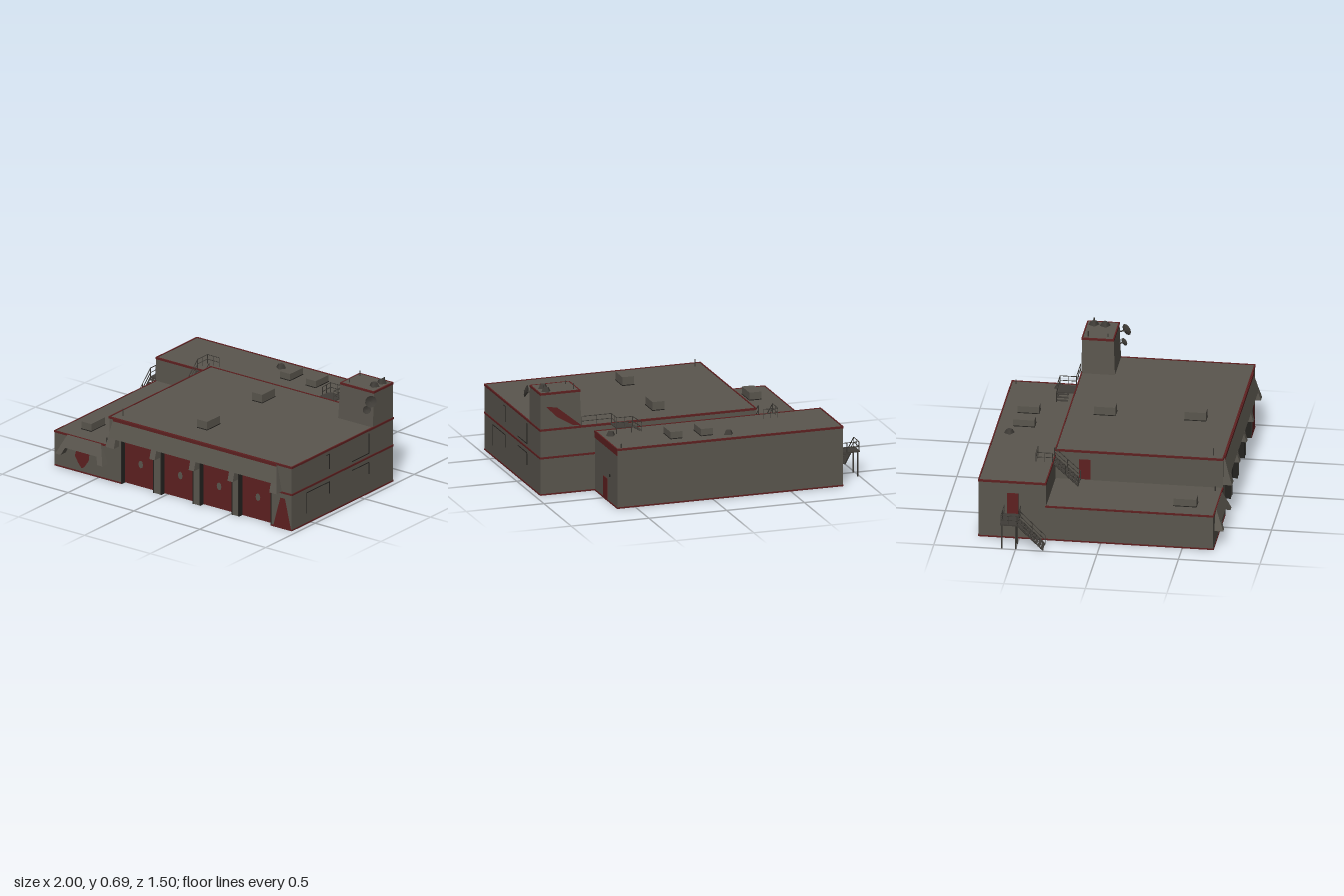
import * as THREE from 'three';

const mat = (name, color) => {
  const m = new THREE.MeshStandardMaterial({ color, side: THREE.DoubleSide });
  m.name = name;
  return m;
};

export function createModel() {
  const root = new THREE.Group();
  const wall = mat('concrete', 0x5a564e), red = mat('dark red', 0x5e2020);
  const dark = mat('charcoal', 0x24221f), metal = mat('metal', 0x403d38);

  const add = (name, geo, m, parent = root) => {
    const mesh = new THREE.Mesh(geo, m);
    mesh.name = name;
    parent.add(mesh);
    return mesh;
  };
  // Box given by its limits
  const box = (name, m, x0, x1, y0, y1, z0, z1, parent) => {
    const mesh = add(name, new THREE.BoxGeometry(x1 - x0, y1 - y0, z1 - z0), m, parent);
    mesh.position.set((x0 + x1) / 2, (y0 + y1) / 2, (z0 + z1) / 2);
    return mesh;
  };
  // Thin bar between two points
  const rod = (name, a, b, r = 0.0025, parent = root, m = metal) => {
    const p = new THREE.Vector3(...a), d = new THREE.Vector3(...b).sub(p);
    const mesh = add(name, new THREE.CylinderGeometry(r, r, d.length(), 5), m, parent);
    mesh.position.copy(p).addScaledVector(d, 0.5);
    mesh.quaternion.setFromUnitVectors(new THREE.Vector3(0, 1, 0), d.normalize());
  };
  // Handrail: posts and two rails along a path of floor points
  const rail = (name, pts, h = 0.06) => {
    const g = new THREE.Group();
    g.name = name;
    root.add(g);
    const up = (p, k) => [p[0], p[1] + h * k, p[2]];
    pts.forEach((p, i) => {
      rod('railPost', p, up(p, 1), 0.0025, g);
      if (!i) return;
      const q = pts[i - 1], mid = p.map((v, j) => (v + q[j]) / 2);
      rod('railPost', mid, up(mid, 1), 0.002, g);
      [0.5, 1].forEach(k => rod('railBar', up(q, k), up(p, k), 0.0025, g));
    });
  };
  // Flat painted patch in the xy plane
  const patch = (name, m, pts, z) => {
    const s = new THREE.Shape(pts.map(p => new THREE.Vector2(...p)));
    add(name, new THREE.ShapeGeometry(s), m).position.z = z;
  };
  // (z, y) profile stretched along x between two edges that depend on height
  const prism = (name, m, profile, left, right) => {
    const s = new THREE.Shape(profile.map(([z, y]) => new THREE.Vector2(-z, y)));
    const g = new THREE.ExtrudeGeometry(s, { depth: 1, bevelEnabled: false }).rotateY(Math.PI / 2);
    const p = g.attributes.position;
    for (let i = 0; i < p.count; i++) {
      const y = p.getY(i);
      p.setX(i, THREE.MathUtils.lerp(left(y), right(y), p.getX(i)));
    }
    g.computeVertexNormals();
    add(name, g, m);
  };

  // Roofs over an open-bottomed shell
  const T = 0.005;
  box('hallRoof', wall, -0.42, 0.965, 0.41, 0.415, -0.335, 0.69);
  box('wingRoof', wall, -0.835, -0.42, 0.22, 0.225, -0.34, 0.69);
  box('rearRoof', wall, -0.835, 0.615, 0.37, 0.375, -0.75, -0.335);

  // Outer walls
  box('hallLeftWall', wall, 0.965 - T, 0.965, 0, 0.415, -0.335, 0.69);
  box('hallRearWall', wall, 0.615, 0.965, 0, 0.415, -0.335, -0.33);
  box('hallRearStep', wall, -0.42, 0.615, 0.37, 0.415, -0.335, -0.33);
  box('hallRightStep', wall, -0.42, -0.415, 0.22, 0.415, -0.335, 0.69);
  box('rearBackWall', wall, -0.835, 0.615, 0, 0.375, -0.75, -0.745);
  box('rearLeftWall', wall, 0.61, 0.615, 0, 0.375, -0.75, -0.33);
  box('rightWall', wall, -0.835, -0.83, 0, 0.225, -0.75, 0.69);
  box('rearRightUpperWall', wall, -0.835, -0.83, 0.225, 0.375, -0.75, -0.335);
  box('rearFrontStep', wall, -0.835, -0.42, 0.22, 0.375, -0.34, -0.335);
  box('wingFrontWall', wall, -0.835, -0.42, 0, 0.225, 0.685, 0.69);

  // Hall front: header, piers and recessed doors
  const doors = [-0.33, -0.03, 0.265, 0.56], W = 0.25;
  box('hallHeader', wall, -0.42, 0.965, 0.295, 0.415, 0.655, 0.69);
  let edge = -0.42;
  [...doors, 0.965].forEach(x => {
    box('pier', wall, edge, x, 0, 0.295, 0.655, 0.69);
    edge = x + W;
  });
  doors.forEach(x => {
    box('garageDoor', red, x, x + W, 0, 0.295, 0.65, 0.657);
    box('doorFrameTop', dark, x, x + W, 0.287, 0.295, 0.657, 0.692);
    [x, x + W - 0.006].forEach(f => box('doorFrameSide', dark, f, f + 0.006, 0, 0.295, 0.657, 0.692));
    const badge = add('doorBadge', new THREE.CircleGeometry(0.018, 8), wall);
    badge.scale.y = 1.4;
    badge.position.set(x + W / 2, 0.145, 0.659);
  });

  // Sloping front canopies with hanging fins
  const hl = y => -0.385 - (0.415 - y) * 0.14, hr = y => 0.855 + (0.415 - y) * 0.2;
  prism('hallCanopy', wall, [[0.688, 0.415], [0.695, 0.415], [0.728, 0.295], [0.688, 0.295]], hl, hr);
  const fin = [[0.688, 0.297], [0.728, 0.297], [0.745, 0.24], [0.688, 0.24]];
  prism('canopyFin', wall, fin, hl, () => -0.345);
  prism('canopyFin', wall, fin, () => 0.835, hr);
  [-0.055, 0.243, 0.538].forEach(x => prism('canopyFin', wall, fin, () => x - 0.02, () => x + 0.02));
  const wl = y => -0.735 - (0.225 - y) * 0.45, wr = y => -0.48 + (0.225 - y) * 0.4;
  prism('wingCanopy', wall, [[0.688, 0.225], [0.695, 0.225], [0.726, 0.15], [0.688, 0.15]], wl, wr);
  const low = [[0.688, 0.151], [0.726, 0.151], [0.745, 0.105], [0.688, 0.105]];
  prism('wingCanopyFin', wall, low, wl, y => wl(y) + 0.04);
  prism('wingCanopyFin', wall, low, y => wr(y) - 0.04, wr);

  // Painted patches
  patch('wingPaint', red, [[-0.68, 0.1], [-0.67, 0.14], [-0.64, 0.148], [-0.6, 0.145], [-0.57, 0.13],
    [-0.575, 0.09], [-0.61, 0.04], [-0.63, 0.03], [-0.655, 0.06]], 0.692);
  patch('cornerPaint', red, [[0.825, 0], [0.963, 0], [0.915, 0.2], [0.88, 0.2]], 0.692);
  patch('towerPaint', red, [[0.93, 0.56], [0.86, 0.55], [0.7, 0.42], [0.76, 0.43], [0.86, 0.49]], -0.338);

  // Side doors
  box('rearSideDoor', red, 0.612, 0.619, 0, 0.14, -0.57, -0.5);
  box('landingDoor', red, -0.839, -0.832, 0.165, 0.3, -0.575, -0.505);
  box('roofDoor', red, -0.424, -0.417, 0.23, 0.36, -0.19, -0.12);
  box('wallLamp', dark, 0.612, 0.62, 0.165, 0.18, -0.62, -0.605);

  // Red edging on roofs, waist and base
  const e = 0.004;
  const edging = (name, x0, x1, z0, z1, y0, y1) => {
    box(name, red, x0 - e, x1 + e, y0, y1, z1 - e, z1 + e);
    box(name, red, x0 - e, x1 + e, y0, y1, z0 - e, z0 + e);
    box(name, red, x0 - e, x0 + e, y0, y1, z0, z1);
    box(name, red, x1 - e, x1 + e, y0, y1, z0, z1);
  };
  edging('hallRoofEdge', -0.42, 0.965, -0.335, 0.69, 0.406, 0.419);
  edging('rearRoofEdge', -0.835, 0.615, -0.748, -0.338, 0.366, 0.379);
  box('rearBand', red, 0.613, 0.618, 0.335, 0.37, -0.75, -0.34);
  box('hallFrontBand', red, -0.385, 0.855, 0.398, 0.417, 0.692, 0.7);
  box('wingFrontEdge', red, -0.838, -0.42, 0.217, 0.228, 0.686, 0.694);
  box('wingSideEdge', red, -0.838, -0.831, 0.217, 0.228, -0.34, 0.69);
  box('waistBand', red, 0.963, 0.969, 0.23, 0.242, -0.335, 0.69);
  box('waistBandBack', red, 0.615, 0.965, 0.23, 0.242, -0.339, -0.334);
  box('waistBandFront', red, 0.81, 0.968, 0.23, 0.242, 0.688, 0.693);
  [[0.963, 0.968, -0.335, 0.69], [0.613, 0.618, -0.75, -0.335], [-0.838, -0.833, -0.75, 0.69],
    [-0.835, 0.615, -0.753, -0.748], [0.615, 0.965, -0.338, -0.333], [-0.835, -0.33, 0.688, 0.693],
    [0.81, 0.965, 0.688, 0.693]].forEach(([a, b, c, d]) => box('baseLine', red, a, b, 0, 0.009, c, d));

  // Grooves on the long side wall: [y0, y1, z0, z1]
  [[0.285, 0.385, 0.306, 0.312], [0.38, 0.385, 0.312, 0.34], [0.26, 0.39, -0.093, -0.087],
    [0.258, 0.263, -0.09, 0.08], [0.07, 0.2, 0.537, 0.543], [0.2, 0.205, 0.31, 0.54],
    [0.125, 0.205, 0.306, 0.312], [0.125, 0.2, -0.093, -0.087], [0.2, 0.205, -0.09, 0.08]]
    .forEach(([a, b, c, d]) => box('wallGroove', dark, 0.964, 0.967, a, b, c, d));

  // Tower, slightly flared at the foot
  prism('tower', wall, [[-0.335, 0.4], [-0.13, 0.4], [-0.14, 0.645], [-0.335, 0.645]],
    y => 0.7 + (y - 0.4) * 0.05, () => 0.965);
  edging('towerEdge', 0.713, 0.963, -0.333, -0.142, 0.634, 0.647);

  // Roof units with sloping sides: [x, z, base, height, depth]
  [[0.005, -0.585, 0.375, 0.045, 0.13], [0.2, -0.585, 0.375, 0.045, 0.13], [0.15, -0.11, 0.415, 0.055, 0.13],
    [0.15, 0.445, 0.415, 0.055, 0.13], [-0.685, 0.5, 0.225, 0.05, 0.14]].forEach(([x, z, y, h, d]) => {
    box('roofUnit', wall, x - 0.038, x + 0.038, y, y + h, z - d / 2, z + d / 2);
    box('roofUnitGrille', dark, x - 0.039, x + 0.039, y, y + 0.005, z - d / 2 - 0.002, z + d / 2 + 0.002);
  });
  // Small vents: [x, base, z]
  [[-0.13, 0.375, -0.66], [0.555, 0.375, -0.45], [0.915, 0.645, -0.29], [0.91, 0.645, -0.22]].forEach(([x, y, z]) => {
    const v = add('vent', new THREE.CylinderGeometry(0.02, 0.033, 0.024, 4), metal);
    v.position.set(x, y + 0.012, z);
    v.rotation.y = 0.25;
  });
  // Aerials: [x, base, z, height]
  [[-0.365, 0.415, 0.625, 0.045], [0.74, 0.645, -0.3, 0.035], [0.75, 0.645, -0.18, 0.02], [0.93, 0.645, -0.29, 0.04],
    [0.58, 0.375, -0.72, 0.025], [-0.47, 0.225, 0.65, 0.03]]
    .forEach(([x, y, z, h]) => rod('aerial', [x, y, z], [x, y + h, z], 0.004));

  // Dishes on the tower front
  const bowl = r => new THREE.LatheGeometry([[0, 0], [r * 0.6, r * 0.12], [r, r * 0.35]]
    .map(p => new THREE.Vector2(...p)), 12);
  [[0.965, 0.595, -0.105, 0.037], [0.93, 0.53, -0.112, 0.026]].forEach(([x, y, z, r]) => {
    const d = add('dish', bowl(r), metal);
    d.position.set(x, y, z);
    d.quaternion.setFromUnitVectors(new THREE.Vector3(0, 1, 0), new THREE.Vector3(0.75, 0.15, 0.6).normalize());
    rod('dishArm', [x - 0.02, y, -0.14], [x, y, z], 0.005);
    rod('dishFeed', [x, y, z], [x + r * 0.6, y + 0.005, z + r * 0.5], 0.002);
  });

  // Flights of steps running down towards the front
  const stairs = (name, x0, x1, y0, y1, z0, z1) => {
    const n = 9, g = new THREE.Group();
    g.name = name;
    root.add(g);
    for (let i = 0; i < n; i++) {
      const t = (i + 0.5) / n, y = y0 + (y1 - y0) * t, z = z0 + (z1 - z0) * t;
      box('step', metal, x0, x1, y - 0.003, y + 0.003, z - 0.009, z + 0.009, g);
    }
    [x0, x1].forEach(x => {
      rod('stringer', [x, y0, z0], [x, y1, z1], 0.005, g);
      rail(name + 'Rail', [[x, y0, z0], [x, y1, z1]]);
    });
  };
  stairs('outerStairs', -0.995, -0.91, 0.16, 0.005, -0.49, -0.33);
  box('outerLanding', metal, -1, -0.835, 0.155, 0.163, -0.595, -0.49);
  [[-0.99, -0.585], [-0.99, -0.5], [-0.91, -0.5]].forEach(([x, z]) => rod('landingLeg', [x, 0, z], [x, 0.16, z], 0.005));
  rail('landingRail', [[-0.84, 0.16, -0.59], [-0.995, 0.16, -0.59], [-0.995, 0.16, -0.49]]);
  rail('landingRail', [[-0.91, 0.16, -0.49], [-0.84, 0.16, -0.49]]);

  stairs('roofStairs', -0.525, -0.435, 0.375, 0.23, -0.34, -0.18);
  rail('roofRail', [[-0.525, 0.378, -0.34], [-0.525, 0.378, -0.44], [-0.435, 0.378, -0.44]]);

  // Raised walkway between rear roof and hall roof
  box('walkway', metal, 0.41, 0.515, 0.41, 0.416, -0.44, -0.335);
  [0.415, 0.51].forEach(x => rod('walkwayLeg', [x, 0.375, -0.435], [x, 0.415, -0.435], 0.003));
  rail('walkwayRail', [[0.35, 0.375, -0.44], [0.41, 0.418, -0.44], [0.51, 0.418, -0.44], [0.51, 0.418, -0.34], [0.7, 0.418, -0.34]]);
  for (let i = 0; i < 3; i++) box('walkwayStep', metal, 0.35 + i * 0.02, 0.368 + i * 0.02, 0.382 + i * 0.012, 0.386 + i * 0.012, -0.44, -0.37);

  return root;
}
